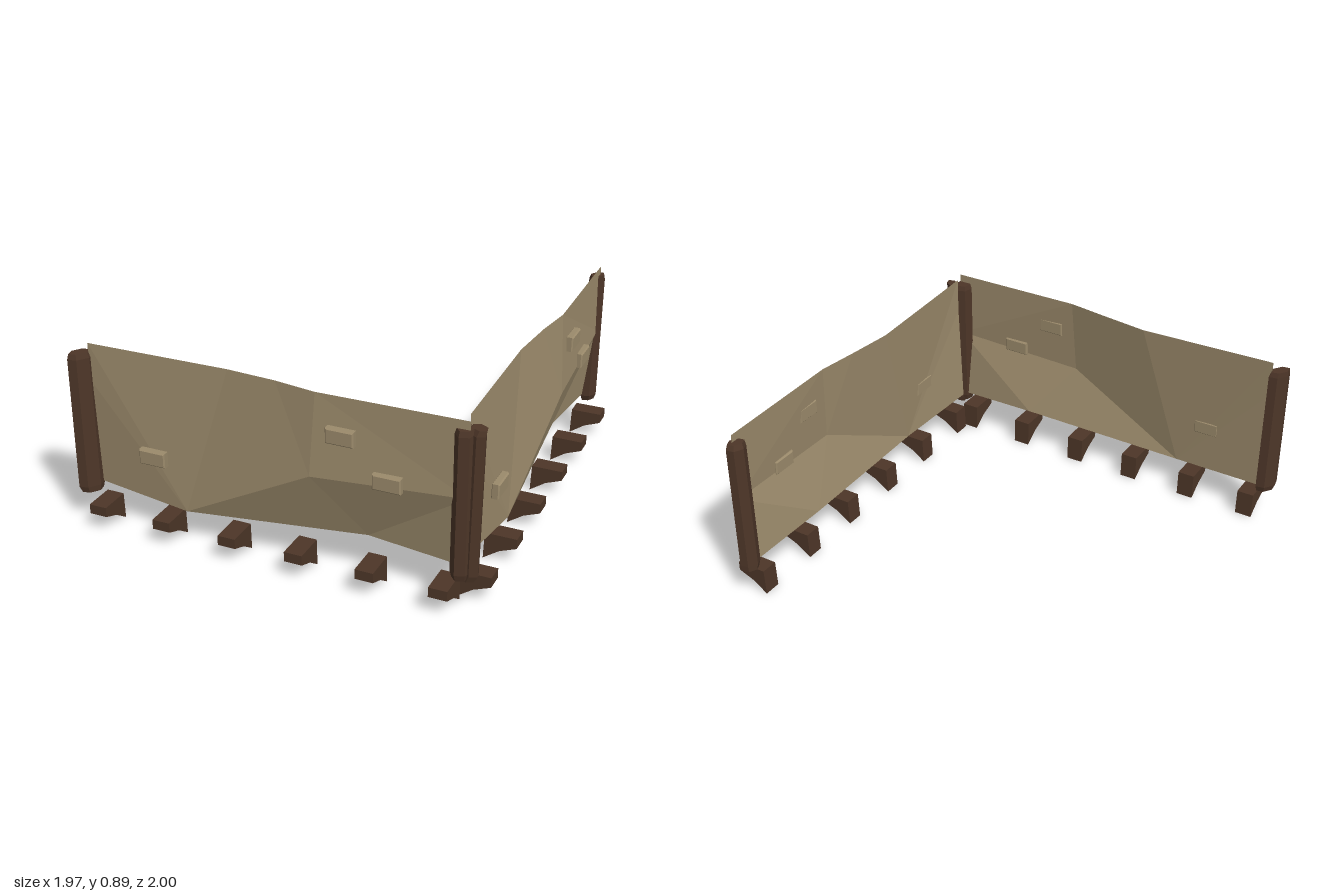
import * as THREE from 'three';

const stone = new THREE.MeshStandardMaterial({ name: 'stone', color: 0x9b8a6b });
const stoneSheet = new THREE.MeshStandardMaterial({ name: 'stone sheet', color: 0x9b8a6b, side: THREE.DoubleSide });
const timber = new THREE.MeshStandardMaterial({ name: 'dark timber', color: 0x4d3628 });
for (const m of [stone, stoneSheet, timber]) m.flatShading = true;

function add(parent, name, geometry, material) {
  const mesh = new THREE.Mesh(geometry, material);
  mesh.name = name;
  parent.add(mesh);
  return mesh;
}

// Faceted, slightly buckled plaster sheet
function panelGeometry() {
  const points = {
    t0: [-0.91, 0.89, 0.89], t1: [-0.22, 0.885, 0.87], t2: [0.02, 0.89, 0.895],
    t3: [0.22, 0.89, 0.925], t4: [0.9, 0.89, 0.915],
    l: [-0.91, 0.71, 0.89], m: [0.2, 0.5, 0.95], r: [0.9, 0.54, 0.92],
    b0: [-0.91, 0.19, 0.87], b1: [-0.43, 0.16, 0.915], b2: [0.43, 0.215, 0.85], b3: [0.9, 0.19, 0.88],
  };
  const faces = ['l b0 b1', 't0 l b1', 't0 b1 t1', 't1 b1 t2', 't2 b1 m', 'm b1 b2',
    'm b2 r', 'b2 b3 r', 't2 m t3', 't3 m r', 't3 r t4'];
  const position = faces.flatMap((f) => f.split(' ').flatMap((k) => points[k]));
  const g = new THREE.BufferGeometry();
  g.setAttribute('position', new THREE.Float32BufferAttribute(position, 3));
  g.computeVertexNormals();
  return g;
}

// Raised brick with a chamfered front
function brickGeometry() {
  const w = 0.118, h = 0.06, bevel = 0.006;
  const s = new THREE.Shape([[-1, -1], [1, -1], [1, 1], [-1, 1]]
    .map(([x, y]) => new THREE.Vector2(x * w / 2, y * h / 2)));
  const g = new THREE.ExtrudeGeometry(s, { depth: 0.026, bevelSize: bevel, bevelThickness: bevel, bevelSegments: 1 });
  return g.translate(0, 0, -0.013);
}

// Bracket: profile in depth and height, extruded sideways
function corbelGeometry() {
  const s = new THREE.Shape([[0.845, 0], [0.92, 0.052], [1.0, 0.083], [1.0, 0.13], [0.85, 0.13]]
    .map(([z, y]) => new THREE.Vector2(z, y)));
  const g = new THREE.ExtrudeGeometry(s, { depth: 0.086, bevelEnabled: false });
  return g.translate(0, 0, -0.043).rotateY(-Math.PI / 2);
}

// One wall side: sheet, bricks and a row of corbels
function wallSide(name, corbels) {
  const side = new THREE.Group();
  side.name = name;
  add(side, 'wallPanel', panelGeometry(), stoneSheet);
  for (const [x, y, z] of [[-0.585, 0.403, 0.92], [0.345, 0.718, 0.945], [0.555, 0.545, 0.94]])
    add(side, 'brick', brickGeometry(), stone).position.set(x, y, z);
  for (const x of corbels) add(side, 'corbel', corbelGeometry(), timber).position.x = x;
  return side;
}

// Rough hewn six-sided post with chamfered ends and a lean towards the top
function post(name, x, z, width, depth, turn, leanX = 0, leanZ = 0, low = 0.155) {
  const g = new THREE.CylinderGeometry(1, 1, 1, 6, 3);
  const p = g.attributes.position;
  const levels = [low, low + 0.03, 0.825, 0.85];
  const scales = [0.82, 1, 0.97, 0.82];
  for (let i = 0; i < p.count; i++) {
    const ring = Math.round((p.getY(i) + 0.5) * 3);
    const a = p.getX(i) * width / 1.732 * scales[ring];
    const b = p.getZ(i) * depth / 2 * scales[ring];
    const t = ring / 3 - 0.5;
    p.setXYZ(i,
      x + a * Math.cos(turn) + b * Math.sin(turn) + leanX * t,
      levels[ring],
      z - a * Math.sin(turn) + b * Math.cos(turn) + leanZ * t);
  }
  g.computeVertexNormals();
  const mesh = new THREE.Mesh(g, timber);
  mesh.name = name;
  return mesh;
}

export function createModel() {
  const model = new THREE.Group();
  model.name = 'cornerWall';

  const front = wallSide('frontWall', [-0.853, -0.52, -0.187, 0.14, 0.475, 0.81]);
  const left = wallSide('leftWall', [-0.845, -0.51, -0.175, 0.16, 0.49, 0.825]);
  left.rotation.y = Math.PI / 2;
  left.position.set(-0.015, 0, -0.06);
  model.add(front, left);

  model.add(
    post('rightEndPost', -0.938, 0.91, 0.062, 0.125, -0.62, -0.01),
    post('backEndPost', 0.885, -0.953, 0.062, 0.1, 2.65, 0.01, 0.015),
    post('cornerPost', 0.872, 0.9, 0.078, 0.1, -0.25, 0.0, 0.0, 0.15),
    post('cornerBracePost', 0.91, 0.88, 0.06, 0.1, 1.1, 0.03, -0.01, 0.14),
  );
  return model;
}
